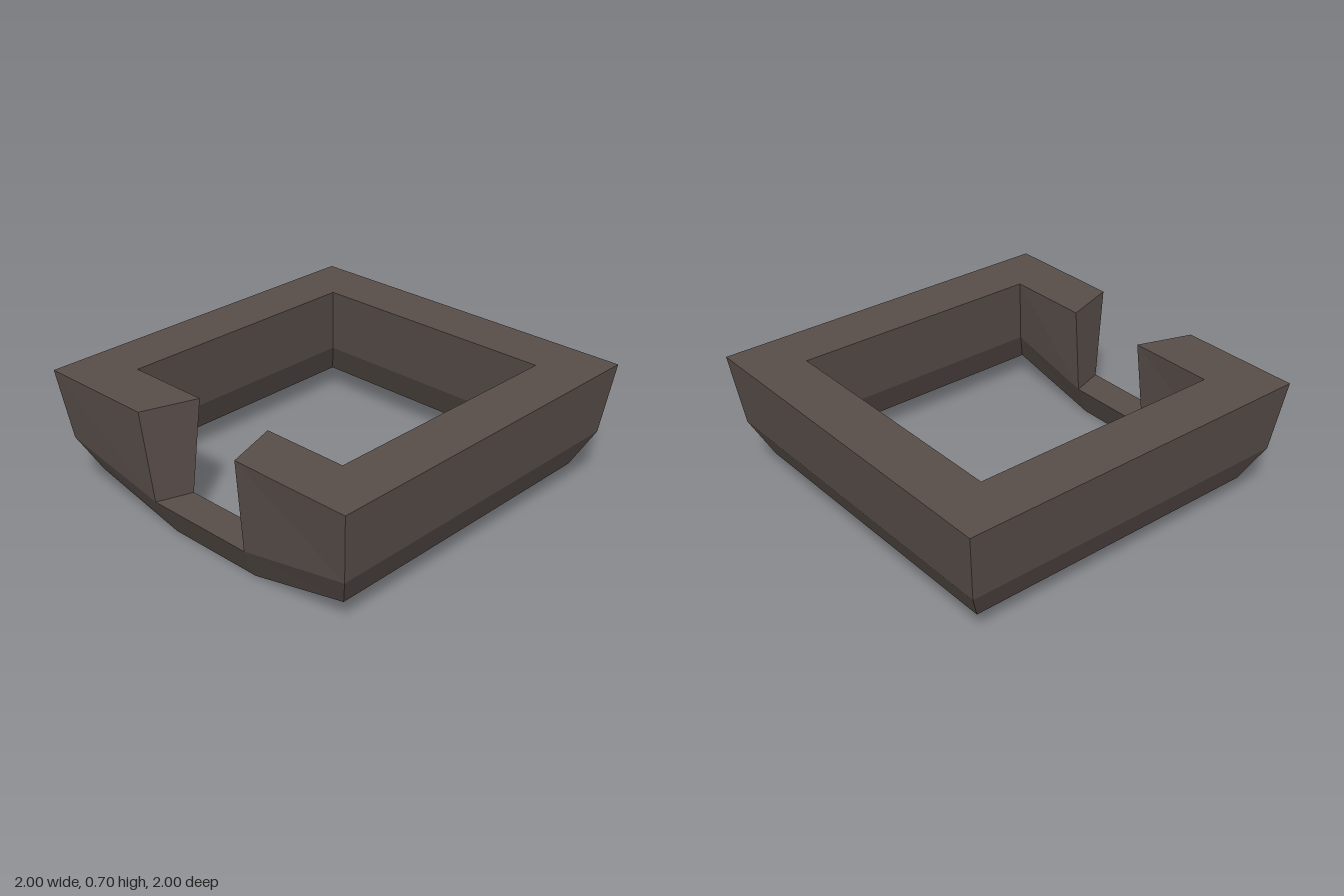
import * as THREE from 'three';

// Cross-section of the wall: [distance from centre, height, height beside the gap]
const SECTION = [
  [1.0, 0.7, 0.7],      // outer top
  [0.95, 0.32, 0.195],  // outer shoulder
  [0.855, 0.13, 0.0],   // keel edge
  [0.76, 0.32, 0.195],  // inner shoulder
  [0.705, 0.7, 0.7],    // inner top
];

// Stations around the square: [x factor, z factor, beside the gap]
const T = 1 / 3;
const STATIONS = [
  [-1, T, true], [-1, 1, false], [1, 1, false],
  [1, -1, false], [-1, -1, false], [-1, -T, true],
];

const ringAt = ([sx, sz, low]) => SECTION.map(([r, y, yLow]) => [sx * r, low ? yLow : y, sz * r]);

function quadGeometry(quads) {
  const pos = [];
  for (const [a, b, c, d] of quads) pos.push(...a, ...b, ...c, ...a, ...c, ...d);
  const g = new THREE.BufferGeometry();
  g.setAttribute('position', new THREE.Float32BufferAttribute(pos, 3));
  g.computeVertexNormals();
  return g;
}

// Quads joining two matching closed sections
const join = (p, q) => p.map((a, j) => {
  const k = (j + 1) % p.length;
  return [a, p[k], q[k], q[j]];
});

export function createModel() {
  const group = new THREE.Group();
  const material = new THREE.MeshStandardMaterial({ color: 0x574d49, flatShading: true });
  material.name = 'dark brown';

  const rings = STATIONS.map(ringAt);
  const first = rings[0], last = rings[5];

  // Square wall, open on one side
  const wall = [];
  for (let i = 0; i < 5; i++) wall.push(...join(rings[i], rings[i + 1]));
  // Faces at both sides of the gap
  wall.push([first[0], first[4], first[3], first[1]]);
  wall.push([last[0], last[1], last[3], last[4]]);

  // Low wedge-shaped sill crossing the gap
  const sill = join(last.slice(1, 4), first.slice(1, 4));

  for (const [name, quads] of [['wall', wall], ['gapSill', sill]]) {
    const mesh = new THREE.Mesh(quadGeometry(quads), material);
    mesh.name = name;
    group.add(mesh);
  }
  return group;
}
